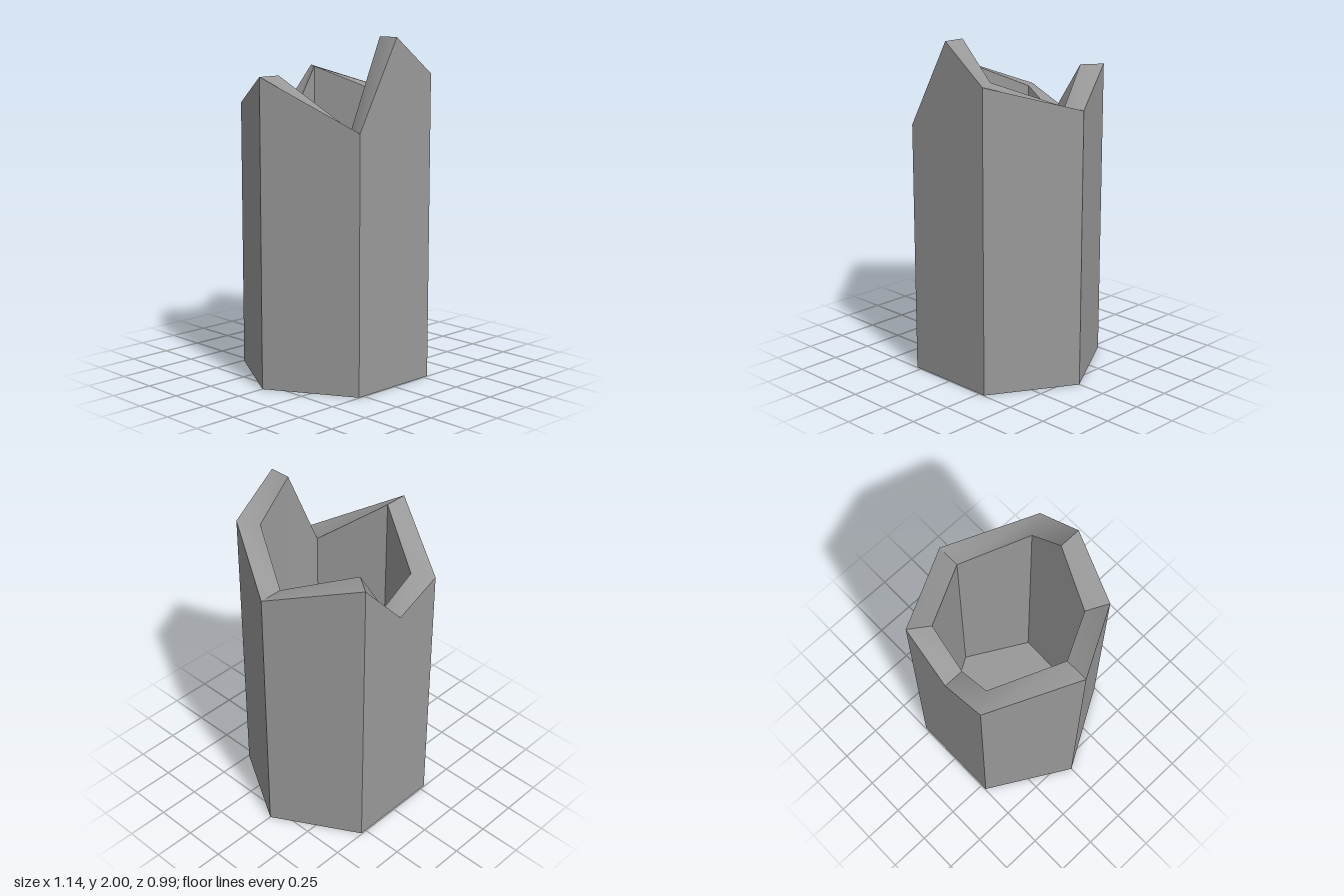
import * as THREE from 'three';
import { mergeVertices } from 'three/addons/utils/BufferGeometryUtils.js';

// Rim stations around the hexagon: outer x, outer z, inner x, inner z, outer height, inner height
const stations = [
  [0.572, 0, 0.43, 0, 1.625, 1.625],
  [0.286, 0.495, 0.22, 0.37, 1.785, 1.785],
  [0, 0.495, 0, 0.366, 2, 2], // front peak
  [-0.286, 0.495, -0.22, 0.36, 1.49, 1.49],
  [-0.572, 0, -0.43, 0, 1.785, 1.785],
  [-0.286, -0.495, -0.21, -0.38, 1.59, 1.6],
  [0, -0.495, 0, -0.37, 1.465, 1.465], // back notch
  [0.286, -0.495, 0.205, -0.38, 1.785, 1.785],
];
const FLOOR = 0.13;

// Runs of stations over which the rim is smooth; it is creased between runs
const rimRuns = [[0, 1, 2], [2, 3], [3, 4], [4, 5, 6], [6, 7], [7, 0]];
const fullLoop = [0, 1, 2, 3, 4, 5, 6, 7, 0];

const outer = (height) => stations.map((s) => new THREE.Vector3(s[0], height ?? s[4], s[1]));
const inner = (height) => stations.map((s) => new THREE.Vector3(s[2], height ?? s[5], s[3]));
const centre = (y) => stations.map(() => new THREE.Vector3(0, y, 0));

// Faceted skin between consecutive rings, along a run of stations
function skin(rings, run) {
  const points = [];
  const addTriangle = (a, b, c) => {
    if (new THREE.Triangle(a, b, c).getArea() > 1e-7) points.push(a, b, c);
  };
  for (let r = 0; r < rings.length - 1; r++) {
    const p = rings[r];
    const q = rings[r + 1];
    for (let k = 0; k < run.length - 1; k++) {
      const i = run[k];
      const j = run[k + 1];
      addTriangle(p[j], p[i], q[i]);
      addTriangle(p[j], q[i], q[j]);
    }
  }
  const geometry = new THREE.BufferGeometry().setFromPoints(points);
  geometry.computeVertexNormals();
  return geometry;
}

// The same skin with normals shared along the run
function smoothSkin(rings, run) {
  const faceted = skin(rings, run);
  faceted.deleteAttribute('normal');
  const geometry = mergeVertices(faceted);
  geometry.computeVertexNormals();
  return geometry;
}

export function createModel() {
  const group = new THREE.Group();
  group.name = 'hollowHexagonalPost';
  const material = new THREE.MeshStandardMaterial({ color: 0x999999 });
  const add = (name, geometry, parent) => {
    const mesh = new THREE.Mesh(geometry, material);
    mesh.name = name;
    parent.add(mesh);
  };

  // Closed underside and straight outer walls
  add('outerWall', skin([centre(0), outer(0), outer()], fullLoop), group);

  // Jagged broken rim
  const rim = new THREE.Group();
  rim.name = 'brokenRim';
  group.add(rim);
  for (const run of rimRuns) add('rimSection', smoothSkin([outer(), inner()], run), rim);

  // Hollow interior with its floor
  add('innerWall', skin([inner(), inner(FLOOR), centre(FLOOR)], fullLoop), group);
  return group;
}
